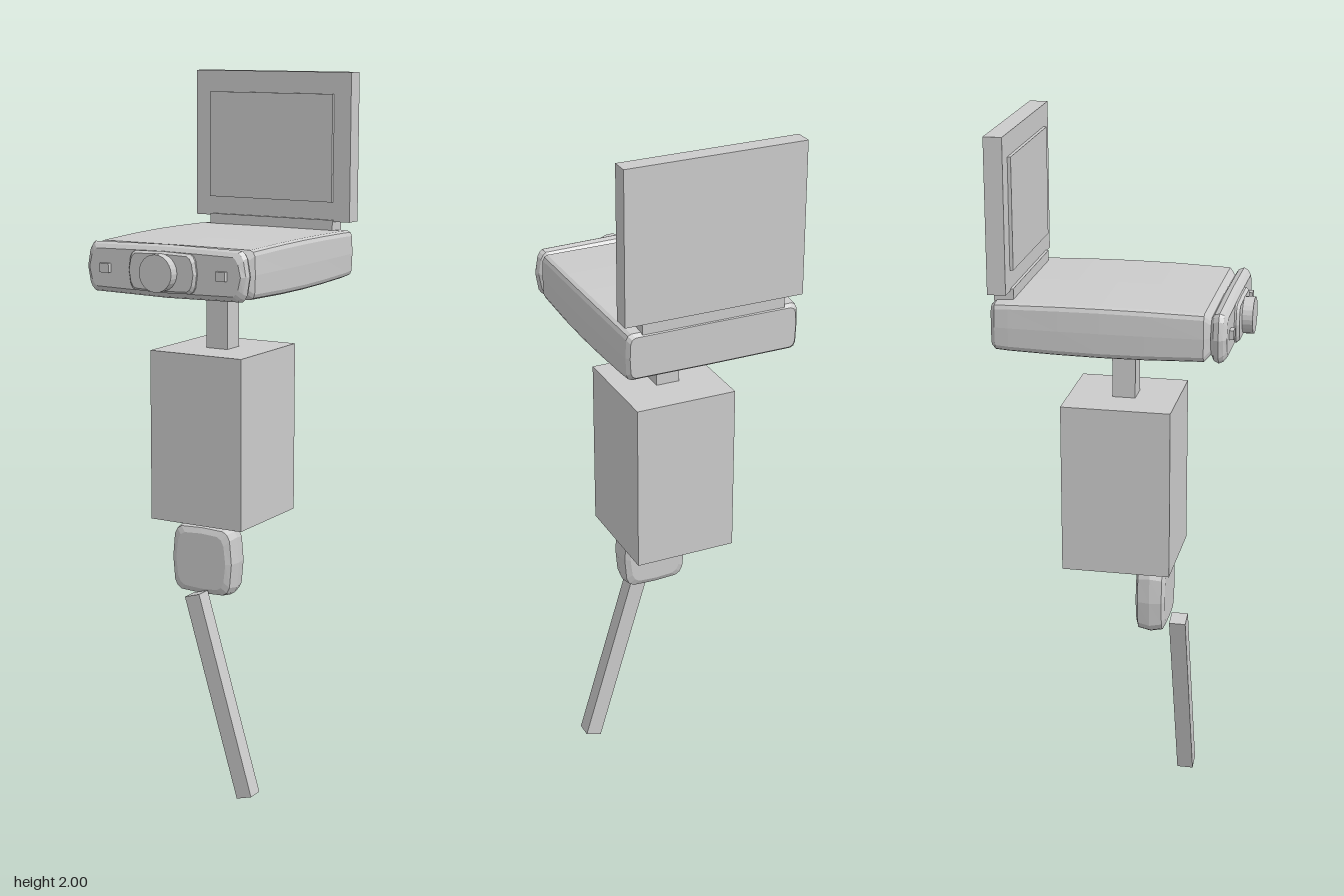
import * as THREE from 'three';

const material = new THREE.MeshStandardMaterial({ color: 0xcccccc, flatShading: true, side: THREE.DoubleSide });

export function createModel() {
  const model = new THREE.Group();

  const add = (name, geometry, x, y, z) => {
    const mesh = new THREE.Mesh(geometry, material);
    mesh.name = name;
    mesh.position.set(x, y, z);
    model.add(mesh);
    return mesh;
  };

  // Box given by its minimum and maximum corners
  const box = (name, [x0, y0, z0], [x1, y1, z1]) =>
    add(name, new THREE.BoxGeometry(x1 - x0, y1 - y0, z1 - z0), (x0 + x1) / 2, (y0 + y1) / 2, (z0 + z1) / 2);

  // Chamfered, slightly bulging block lofted along z; rings are [z, inset]
  const pillow = (hw, hh, c, rings, bulge = 0.005) => {
    const pos = [], index = [];
    const n = 16;
    for (const [z, inset] of rings) {
      const w = hw - inset, h = hh - inset, a = w - bulge, b = h - bulge / 2;
      const quarter = [[w, 0], [a, h - c], [a - c * 0.3, b - c * 0.3], [w - c, b]];
      const mirrored = quarter.slice(1).reverse().map(([x, y]) => [-x, y]);
      const upper = [...quarter, [0, h], ...mirrored];
      const ring = [...upper, ...upper.map(([x, y]) => [-x, -y])];
      ring.forEach(([x, y]) => pos.push(x, y, z));
    }
    for (let r = 0; r < rings.length - 1; r++) {
      for (let i = 0; i < n; i++) {
        const a = r * n + i, b = r * n + (i + 1) % n;
        index.push(a, b, b + n, a, b + n, a + n);
      }
    }
    // End caps
    const last = (rings.length - 1) * n;
    for (let i = 1; i < n - 1; i++) {
      index.push(0, i + 1, i, last, last + i, last + i + 1);
    }
    const geometry = new THREE.BufferGeometry();
    geometry.setAttribute('position', new THREE.Float32BufferAttribute(pos, 3));
    geometry.setIndex(index);
    geometry.computeVertexNormals();
    return geometry;
  };

  // Raised display with its inset panel and hinge
  box('screen', [-0.25, 1.585, -0.337], [0.25, 2, -0.287]);
  box('screenPanel', [-0.2, 1.64, -0.29], [0.197, 1.94, -0.278]);
  box('hinge', [-0.2, 1.555, -0.332], [0.2, 1.59, -0.279]);

  // Main housing, widest in the middle
  add('body', pillow(0.249, 0.071, 0.016, [
    [-0.333, 0.014], [-0.322, 0.006], [-0.285, 0.004], [-0.15, 0.001], [-0.04, 0],
    [0.08, 0.001], [0.235, 0.005], [0.252, 0.022],
  ], 0.002), 0, 1.495, 0);

  // Front bezel, lens plate, lens and two small sensors
  add('bezel', pillow(0.25, 0.071, 0.022, [
    [0.252, 0.016], [0.26, 0.005], [0.274, 0], [0.286, 0.005], [0.295, 0.016],
  ], 0.008), 0, 1.495, 0);
  add('lensPlate', pillow(0.105, 0.055, 0.02, [
    [0.288, 0], [0.3, 0], [0.308, 0.006],
  ]), 0, 1.495, 0);
  const lens = add('lens', new THREE.CylinderGeometry(0.05, 0.05, 0.035, 24), 0, 1.495, 0.319);
  lens.rotation.x = Math.PI / 2;
  for (const side of [-1, 1]) {
    box('sensor', [side * 0.18 - 0.014, 1.483, 0.285], [side * 0.18 + 0.014, 1.508, 0.307]);
  }

  // Post and torso block
  box('neck', [-0.036, 1.24, -0.048], [0.031, 1.43, 0.016]);
  box('torso', [-0.147, 0.77, -0.17], [0.143, 1.25, 0.133]);

  // Rounded lower block and slanted leg
  add('lowerBlock', pillow(0.1, 0.1, 0.028, [
    [0.026, 0.02], [0.034, 0.005], [0.068, 0], [0.102, 0.005], [0.11, 0.02],
  ], 0.006), 0, 0.661, 0);
  const leg = add('leg', new THREE.BoxGeometry(0.048, 0.59, 0.047), 0.086, 0.291, 0.136);
  leg.rotation.z = 0.29;

  return model;
}
